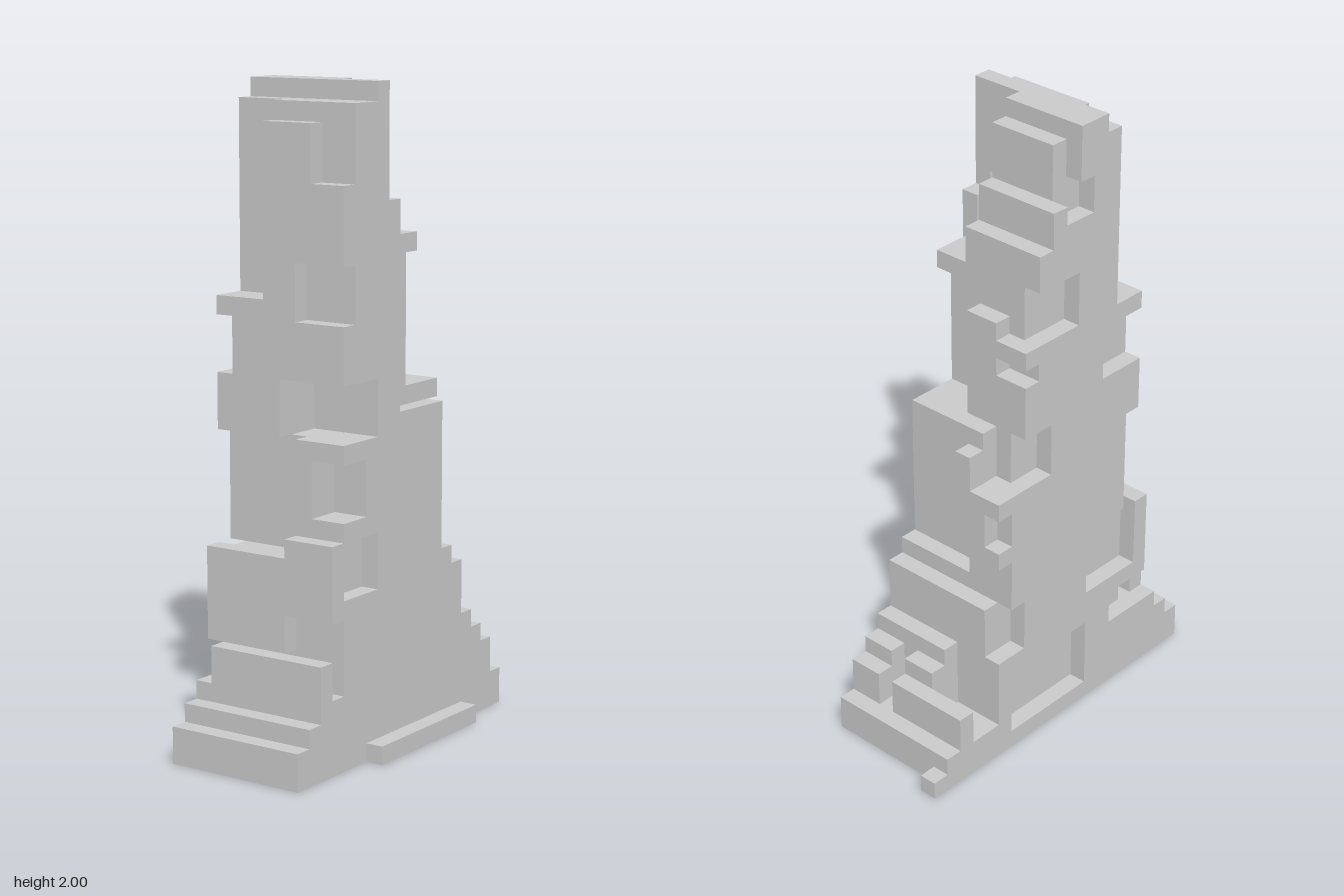
import * as THREE from 'three';
import { mergeGeometries } from 'three/addons/utils/BufferGeometryUtils.js';

const U = 2 / 35; // block size
const LEFT = -10, RIGHT = 10, TOP = 35, BODY = 8, DEPTH = 9;

// Height of each one-block column of the body, from x = LEFT
const HEIGHTS = [2, 3, 6, 12, 33, 34, 34, 35, 35, 34, 31, 29, 25, 19, 18, 6, 5, 4, 2];

// Fills and carves blocks; z is counted from the back. Returns a test for a filled block.
function buildBlocks() {
  const blocks = new Set();
  const key = (x, y, z) => `${x},${y},${z}`;
  const each = (x0, x1, y0, y1, z0, z1, action) => {
    for (let x = x0; x < x1; x++)
      for (let y = y0; y < y1; y++)
        for (let z = z0; z < z1; z++) action(key(x, y, z));
  };
  const add = (...box) => each(...box, (k) => blocks.add(k));
  const cut = (...box) => each(...box, (k) => blocks.delete(k));
  const backCut = (x0, x1, y0, y1, depth = 1) => cut(x0, x1, y0, y1, 0, depth);
  const rightCut = (x0, y0, y1, z0, z1) => cut(x0, RIGHT, y0, y1, z0, z1);
  const leftNotch = (y, width, z0) => cut(-6, width - 6, y, y + 3, z0, BODY);

  HEIGHTS.forEach((h, i) => add(LEFT + i, LEFT + i + 1, 0, h, 0, BODY));

  // tall front-right recess: crown, post, ledges and lower wall
  rightCut(-2, 29, TOP, 5, BODY);
  rightCut(-2, 27, 29, 5, 7);
  rightCut(-1, 18, 29, 7, BODY);
  rightCut(1, 19, 26, 4, 7);
  rightCut(3, 10, 18, 3, BODY);
  cut(-3, -2, 27, 30, 5, 7);

  // square notches up the front-left edge
  leftNotch(30, 1, 6);
  leftNotch(23, 1, 5);
  leftNotch(17, 3, 4);
  leftNotch(13, 2, 6);
  leftNotch(9, 3, 7);

  // left shoulder, with the gap below it
  backCut(-7, -6, 4, 6, BODY);
  cut(-7, -6, 6, 8, 5, BODY);
  backCut(-7, -5, 11, 17, 5);

  // right side: waist, foot pocket, foot slot and rear corner
  backCut(4, 5, 9, 12, BODY);
  backCut(5, 7, 2, 6, 3);
  cut(6, 8, 2, 6, 5, 6);
  rightCut(3, 16, 19, 0, 2);
  for (const y of [22, 24]) rightCut(2, y, y + 1, 0, 2);

  // back face: tall corner channel and shallow panels
  backCut(-6, -4, 24, TOP, 3);
  backCut(-1, 0, 31, TOP);
  backCut(-2, 0, 30, 32);
  backCut(-1, 2, 24, 27);
  backCut(-6, -3, 20, 23);
  backCut(1, 3, 16, 19);
  backCut(4, 5, 13, 15);
  backCut(-6, -2, 7, 11);
  backCut(3, 5, 6, 9);
  backCut(-8, -4, 4, 6);
  backCut(-2, 4, 1, 5);

  // front doorstep and loose corner block
  add(-4, 5, 0, 1, BODY, DEPTH);
  add(9, RIGHT, 0, 1, 0, 1);
  return (x, y, z) => blocks.has(key(x, y, z));
}

// One outward square for each of the six sides of a block
function blockSides() {
  const side = (turn, nx, ny, nz) => {
    const plane = new THREE.PlaneGeometry(U, U).translate(0, 0, U / 2);
    return { plane: turn(plane), normal: [nx, ny, nz] };
  };
  const quarter = Math.PI / 2;
  return [
    side((p) => p, 0, 0, 1),
    side((p) => p.rotateY(Math.PI), 0, 0, -1),
    side((p) => p.rotateY(quarter), 1, 0, 0),
    side((p) => p.rotateY(-quarter), -1, 0, 0),
    side((p) => p.rotateX(-quarter), 0, 1, 0),
    side((p) => p.rotateX(quarter), 0, -1, 0),
  ];
}

// Exposed faces of all blocks between two heights
function sectionGeometry(solid, sides, yMin, yMax) {
  const faces = [];
  for (let x = LEFT; x < RIGHT; x++)
    for (let y = yMin; y < yMax; y++)
      for (let z = 0; z < DEPTH; z++) {
        if (!solid(x, y, z)) continue;
        for (const { plane, normal: [nx, ny, nz] } of sides) {
          if (solid(x + nx, y + ny, z + nz)) continue;
          faces.push(plane.clone().translate((x + 0.5) * U, (y + 0.5) * U, (z + 0.5 - DEPTH / 2) * U));
        }
      }
  return mergeGeometries(faces);
}

export function createModel() {
  const group = new THREE.Group();
  group.name = 'steppedTower';
  const material = new THREE.MeshStandardMaterial({ color: 0xcccccc, flatShading: true });
  const solid = buildBlocks();
  const sides = blockSides();
  const addSection = (name, yMin, yMax) => {
    const mesh = new THREE.Mesh(sectionGeometry(solid, sides, yMin, yMax), material);
    mesh.name = name;
    group.add(mesh);
  };
  addSection('base', 0, 6);
  addSection('lowerTower', 6, 18);
  addSection('upperTower', 18, 29);
  addSection('spire', 29, TOP);
  return group;
}
